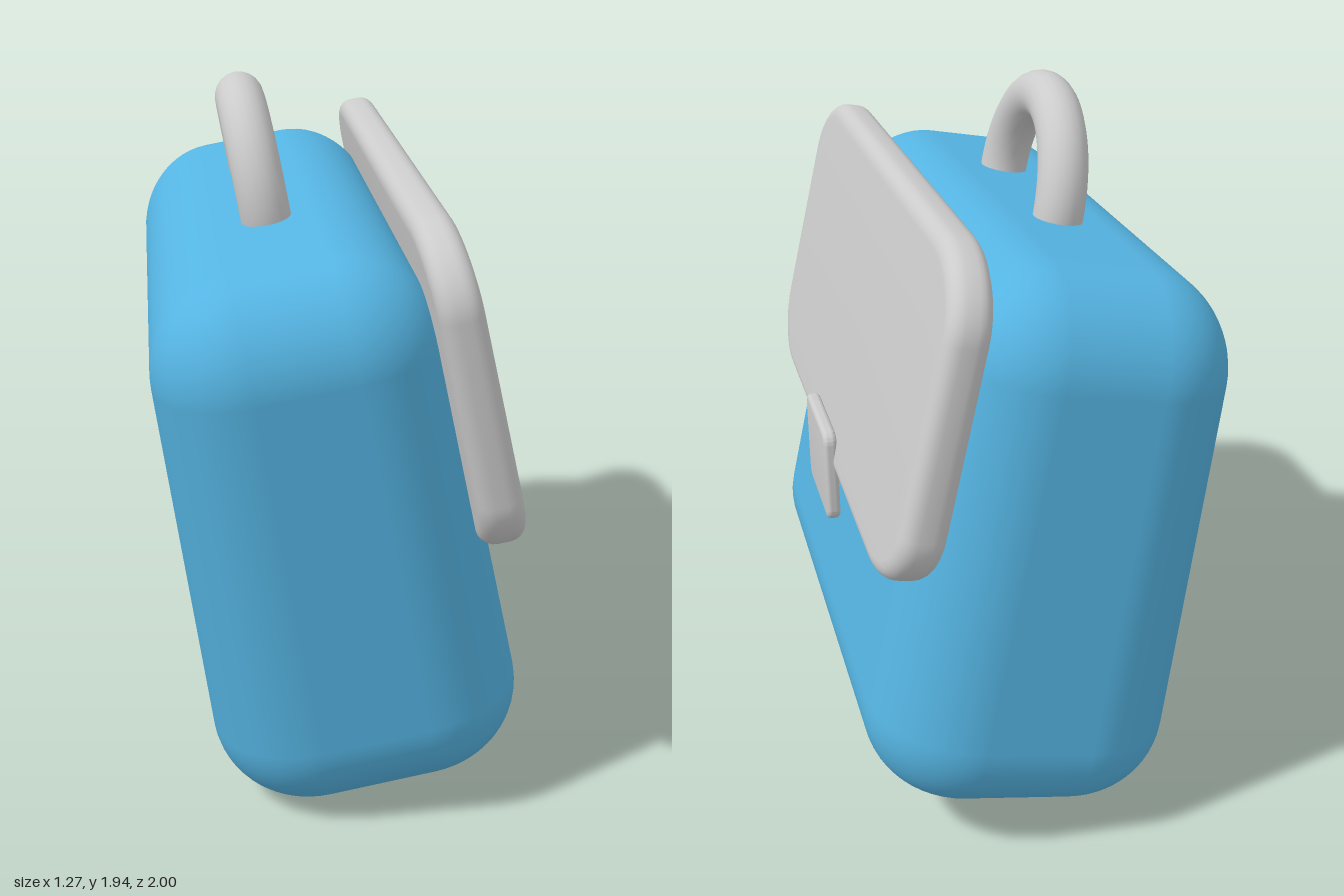
import * as THREE from 'three';
import { toCreasedNormals } from 'three/addons/utils/BufferGeometryUtils.js';
import { RoundedBoxGeometry } from 'three/addons/geometries/RoundedBoxGeometry.js';

const grey = new THREE.MeshStandardMaterial({ color: 0xcccccc });
const blue = new THREE.MeshStandardMaterial({ color: 0x55b4e2 });

// The bag narrows slightly towards its top
function taper(geometry) {
  const p = geometry.attributes.position;
  for (let i = 0; i < p.count; i++) {
    const y = p.getY(i);
    p.setX(i, p.getX(i) * (1 - 0.012 * y));
    p.setZ(i, p.getZ(i) * (1 - 0.11 * y));
  }
  return geometry;
}

// Plate with elliptical corners and soft edges, centred on the origin
function plate(w, h, d, rx, ry, bevel) {
  const a = w / 2 - bevel, b = h / 2 - bevel;
  const shape = new THREE.Shape();
  shape.moveTo(a, -b + ry);
  [[1, 1, 0], [-1, 1, 1], [-1, -1, 2], [1, -1, 3]].forEach(([sx, sy, q]) => {
    shape.absellipse(sx * (a - rx), sy * (b - ry), rx, ry,
      q * Math.PI / 2, (q + 1) * Math.PI / 2, false, 0);
  });
  const geometry = new THREE.ExtrudeGeometry(shape, {
    depth: d - 2 * bevel, bevelEnabled: true, bevelSize: bevel,
    bevelThickness: bevel, bevelSegments: 5, curveSegments: 12,
  });
  return geometry.translate(0, 0, bevel - d / 2);
}

function add(parent, name, geometry, material) {
  const mesh = new THREE.Mesh(geometry, material);
  mesh.name = name;
  parent.add(mesh);
  return mesh;
}

export function createModel() {
  const model = new THREE.Group();
  model.name = 'satchel';
  const bag = new THREE.Group();
  bag.name = 'bag';
  model.add(bag);

  // Soft box body
  add(bag, 'body', taper(new RoundedBoxGeometry(1.88, 1.568, 0.82, 8, 0.27)), blue);

  // Front flap
  const flap = plate(1.935, 0.917, 0.125, 0.24, 0.16, 0.045).translate(0, 0.375, 0.433);
  add(bag, 'flap', toCreasedNormals(taper(flap), 0.6), grey);

  // Clasp, its top leaning outwards
  const clasp = add(bag, 'clasp',
    toCreasedNormals(plate(0.345, 0.288, 0.04, 0.025, 0.025, 0.014), 0.6), grey);
  clasp.position.set(-0.015, -0.1, 0.492);
  clasp.rotation.x = 0.187;

  // Carrying handle, its feet sunk into the body
  const extra = 0.12;
  const handle = add(bag, 'handle',
    new THREE.TorusGeometry(0.28, 0.07, 20, 40, Math.PI + 2 * extra), grey);
  handle.position.set(0, 0.784, 0);
  handle.rotation.z = -extra;

  // Turn the bag sideways and lean it back
  const side = new THREE.Vector3(0.2, 0.038, -0.979).normalize();
  const out = new THREE.Vector3(0.962, 0.18, 0.2035);
  const up = out.clone().cross(side).normalize();
  out.crossVectors(side, up);
  bag.quaternion.setFromRotationMatrix(new THREE.Matrix4().makeBasis(side, up, out));
  bag.position.set(-0.031, 0.831, -0.035);

  return model;
}
